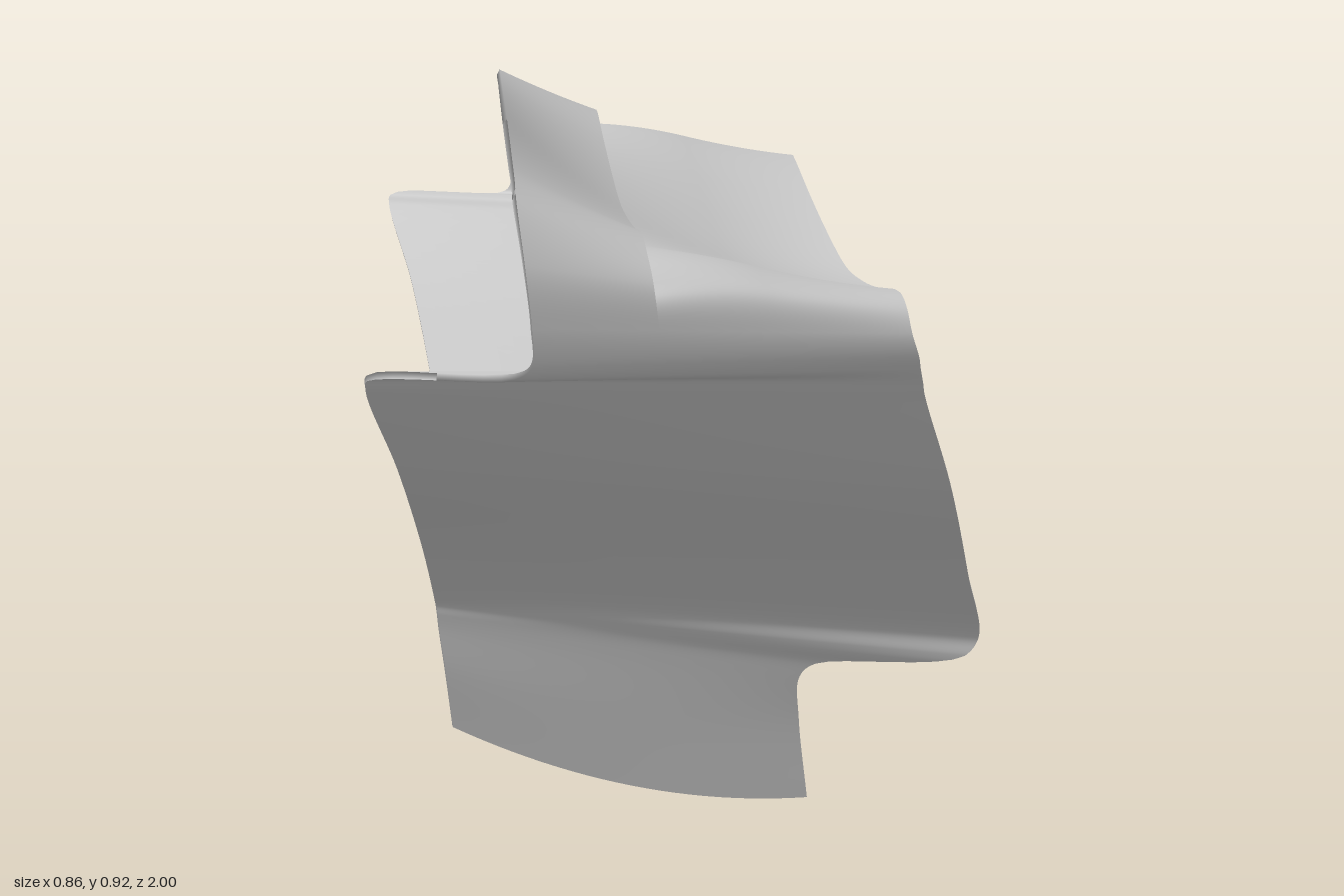
import * as THREE from 'three';

const { smoothstep } = THREE.MathUtils;
const HALF = 0.005;   // half the sheet thickness
const SPLIT = 0.33;   // where the slot lies across the width

// Back and front edge points of the end plate, from the foot up round the bend
const plateEdges = [
  [[-0.32, 0.135, 0.655], [0.185, 0.003, 0.572]],
  [[-0.33, 0.22, 0.665], [0.172, 0.12, 0.58]],
  [[-0.338, 0.28, 0.668], [0.172, 0.185, 0.588]],
  [[-0.34, 0.3, 0.67], [0.195, 0.204, 0.588]],
  // lower front tab
  [[-0.342, 0.315, 0.672], [0.41, 0.208, 0.572]],
  [[-0.345, 0.335, 0.685], [0.43, 0.235, 0.568]],
  [[-0.36, 0.42, 0.755], [0.405, 0.34, 0.645]],
  [[-0.39, 0.55, 0.88], [0.36, 0.5, 0.78]],
  // upper back tab
  [[-0.428, 0.67, 0.975], [0.312, 0.64, 0.87]],
  [[-0.425, 0.685, 0.983], [0.308, 0.66, 0.882]],
  [[-0.235, 0.686, 0.988], [0.303, 0.68, 0.895]],
  // bend
  [[-0.213, 0.7, 0.99], [0.3, 0.695, 0.902]],
  [[-0.213, 0.75, 0.995], [0.29, 0.725, 0.905]],
  [[-0.222, 0.83, 0.987], [0.285, 0.75, 0.893]],
  [[-0.232, 0.9, 0.94], [0.283, 0.763, 0.86]],
];

// Back edge, slot line and front edge; the slot line hangs below the straight chord
function station(back, front, extraSag) {
  const l = new THREE.Vector3(...back), r = new THREE.Vector3(...front);
  const c = l.clone().lerp(r, SPLIT);
  c.y -= extraSag + 0.03 * (1 - smoothstep(l.y, 0.14, 0.32)) + 0.021 * smoothstep(l.y, 0.8, 0.92);
  return [l, c, r];
}

const stations = plateEdges.map(([back, front]) => station(back, front, 0));
// Blade: straight back edge, front edge sagging toward the centre
for (const z of [0.85, 0.6, 0.3, 0]) {
  const k = (z / 0.85) ** 1.5;
  stations.push(station([-0.233, 0.917, z], [0.293 - 0.011 * k, 0.685 + 0.077 * k, z * 0.93], 0.032 * (1 - k)));
}
const SPANS = 2 * (stations.length - 1);

// Mirrored guide curves running the whole way from foot to foot
const guides = [0, 1, 2].map((k) => {
  const side = stations.map((s) => s[k]);
  const other = side.slice(0, -1).reverse().map((p) => new THREE.Vector3(p.x, p.y, -p.z));
  return new THREE.CatmullRomCurve3([...side, ...other], false, 'centripetal');
});

// Smooth surface: a parabola across the three guides
function surface(u, v) {
  const t = THREE.MathUtils.clamp(v, 0, 1);
  const w = [
    ((u - SPLIT) * (u - 1)) / SPLIT,
    (u * (u - 1)) / (SPLIT * (SPLIT - 1)),
    (u * (u - SPLIT)) / (1 - SPLIT),
  ];
  const p = new THREE.Vector3();
  guides.forEach((g, k) => p.addScaledVector(g.getPoint(t), w[k]));
  return p;
}

// Main blade dips under the flap to open the slot
function mainSurface(u, v) {
  const p = surface(u, v);
  const along = Math.min(v, 1 - v) * SPANS;
  const near = Math.max(0, 1 - (u - SPLIT) / 0.3);
  const depth = 0.025 - 0.012 * smoothstep(along, 14, 18);
  p.y -= depth * smoothstep(along, 12, 13.5) * near * near;
  return p;
}

// Thin closed shell over a patch of a surface
function shell(name, fn, u0, u1, v0, v1, nu, nv) {
  const pos = [], nor = [], idx = [], e = 1e-3;
  const ring = 2 * (nu + 1);
  for (let j = 0; j <= nv; j++) {
    const v = v0 + ((v1 - v0) * j) / nv;
    const top = [], bottom = [];
    for (let i = 0; i <= nu; i++) {
      const u = u0 + ((u1 - u0) * i) / nu;
      const p = fn(u, v);
      const du = fn(u + e, v).sub(fn(u - e, v));
      const dv = fn(u, v + e).sub(fn(u, v - e));
      const n = du.cross(dv).normalize();
      top.push([p.clone().addScaledVector(n, HALF), n]);
      bottom.unshift([p.clone().addScaledVector(n, -HALF), n.clone().negate()]);
    }
    for (const [p, n] of [...top, ...bottom]) {
      pos.push(p.x, p.y, p.z);
      nor.push(n.x, n.y, n.z);
    }
  }
  for (let j = 0; j < nv; j++) {
    for (let i = 0; i < ring; i++) {
      const a = j * ring + i, b = j * ring + ((i + 1) % ring);
      idx.push(a, b, b + ring, a, b + ring, a + ring);
    }
  }
  // end caps
  for (const [row, far] of [[0, false], [nv * ring, true]]) {
    for (let i = 0; i < nu; i++) {
      const a = row + i, b = a + 1, d = row + ring - 1 - i, c = d - 1;
      if (far) idx.push(a, b, c, a, c, d);
      else idx.push(a, c, b, a, d, c);
    }
  }
  const geo = new THREE.BufferGeometry();
  geo.setAttribute('position', new THREE.Float32BufferAttribute(pos, 3));
  geo.setAttribute('normal', new THREE.Float32BufferAttribute(nor, 3));
  geo.setIndex(idx);
  const mat = new THREE.MeshStandardMaterial({ color: 0xcccccc, side: THREE.DoubleSide });
  const mesh = new THREE.Mesh(geo, mat);
  mesh.name = name;
  return mesh;
}

export function createModel() {
  const group = new THREE.Group();
  group.name = 'wing';
  const bend = 12 / SPANS;
  group.add(
    shell('frontEndPlate', surface, 0, 1, 0, bend, 24, 96),
    shell('backEndPlate', surface, 0, 1, 1 - bend, 1, 24, 96),
    shell('rearFlap', surface, 0, SPLIT, bend, 1 - bend, 10, 96),
    shell('mainBlade', mainSurface, SPLIT, 1, bend, 1 - bend, 18, 96),
  );
  return group;
}
